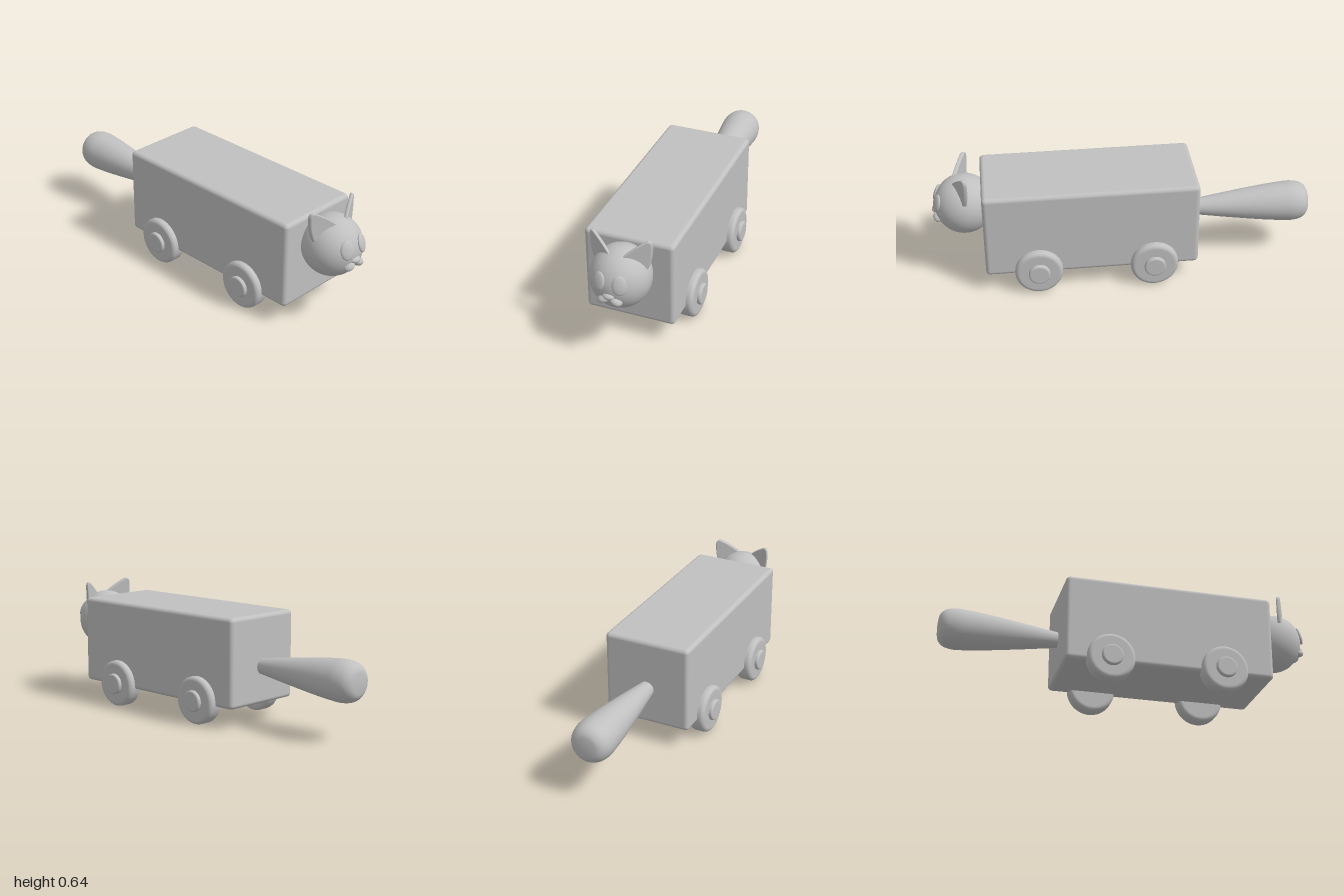
import * as THREE from 'three';
import { RoundedBoxGeometry } from 'three/addons/geometries/RoundedBoxGeometry.js';

const HEAD = new THREE.Vector3(0.83, 0.418, 0);
const HEAD_R = new THREE.Vector3(0.155, 0.159, 0.152);

// Solid of revolution about y between y0 and y1 with rounded rims
function roundedDisc(radius, y0, y1, round) {
  const pts = [new THREE.Vector2(0, y0), new THREE.Vector2(radius - round - 0.004, y0)];
  for (let i = 0; i <= 8; i++) {
    const a = -Math.PI / 2 + (i / 8) * Math.PI / 2;
    pts.push(new THREE.Vector2(radius - round + Math.cos(a) * round, y0 + round + Math.sin(a) * round));
  }
  for (let i = 0; i <= 8; i++) {
    const a = (i / 8) * Math.PI / 2;
    pts.push(new THREE.Vector2(radius - round + Math.cos(a) * round, y1 - round + Math.sin(a) * round));
  }
  pts.push(new THREE.Vector2(radius - round - 0.004, y1), new THREE.Vector2(0, y1));
  return new THREE.LatheGeometry(pts, 48);
}

// Pointed ear with curved sides, slanting back towards its outer edge
function earGeometry(side) {
  const s = new THREE.Shape();
  s.moveTo(side * 0.04, 0.56);
  s.quadraticCurveTo(side * 0.078, 0.55, side * 0.13, 0.48);
  s.quadraticCurveTo(side * 0.154, 0.53, side * 0.153, 0.615);
  s.quadraticCurveTo(side * 0.149, 0.641, side * 0.132, 0.629);
  s.quadraticCurveTo(side * 0.088, 0.605, side * 0.04, 0.56);
  const g = new THREE.ExtrudeGeometry(s, {
    depth: 0.004, bevelEnabled: true, bevelThickness: 0.009, bevelSize: 0.006,
    bevelSegments: 4, curveSegments: 14,
  });
  g.translate(0, 0, -0.002);
  g.rotateY(Math.PI / 2);
  const p = g.attributes.position;
  for (let i = 0; i < p.count; i++) {
    p.setX(i, p.getX(i) + 0.893 - 0.5 * Math.abs(p.getZ(i)));
  }
  g.computeVertexNormals();
  return g;
}

export function createModel() {
  const model = new THREE.Group();
  model.name = 'catWagon';
  const grey = new THREE.MeshStandardMaterial({ color: 0xc0c0c0 });
  grey.name = 'plain grey';

  const add = (name, geometry, parent = model) => {
    const mesh = new THREE.Mesh(geometry, grey);
    mesh.name = name;
    parent.add(mesh);
    return mesh;
  };
  const ellipsoid = (name, parent, x, y, z, rx, ry, rz) => {
    const mesh = add(name, new THREE.SphereGeometry(1, 40, 28).scale(rx, ry, rz), parent);
    mesh.position.set(x, y, z);
    return mesh;
  };

  // Box body
  add('body', new RoundedBoxGeometry(1.115, 0.465, 0.466, 5, 0.022)).position.set(0.1825, 0.3375, 0);

  // Four wheels with hubs
  const tyre = roundedDisc(0.125, 0.18, 0.268, 0.022).rotateX(Math.PI / 2);
  const cap = roundedDisc(0.056, 0.25, 0.287, 0.01).rotateX(Math.PI / 2);
  for (const [label, x] of [['front', 0.465], ['rear', -0.14]]) {
    for (const side of [1, -1]) {
      const wheel = new THREE.Group();
      wheel.name = label + (side > 0 ? 'NearWheel' : 'FarWheel');
      wheel.position.set(x, 0.125, 0);
      wheel.rotation.y = side > 0 ? 0 : Math.PI;
      add('tyre', tyre, wheel);
      add('hub', cap, wheel);
      model.add(wheel);
    }
  }

  // Club-shaped tail, thin where it meets the body
  const profile = new THREE.SplineCurve([
    [0, -1], [0.035, -0.998], [0.07, -0.99], [0.096, -0.962], [0.107, -0.91], [0.104, -0.85],
    [0.094, -0.75], [0.07, -0.57], [0.042, -0.38], [0.036, -0.34],
  ].map(([r, x]) => new THREE.Vector2(r, x))).getPoints(50);
  profile.forEach((p) => { p.x = Math.max(0, p.x); });
  add('tail', new THREE.LatheGeometry(profile, 40).rotateZ(-Math.PI / 2)).position.y = 0.302;

  // Cat head and face
  const head = new THREE.Group();
  head.name = 'head';
  model.add(head);
  ellipsoid('skull', head, HEAD.x, HEAD.y, HEAD.z, HEAD_R.x, HEAD_R.y, HEAD_R.z);
  for (const side of [1, -1]) {
    add(side > 0 ? 'nearEar' : 'farEar', earGeometry(side), head);

    // Eye laid flat on the skull surface
    const ey = 0.46, ez = side * 0.053;
    const dy = (ey - HEAD.y) / HEAD_R.y, dz = ez / HEAD_R.z;
    const ex = HEAD.x + HEAD_R.x * Math.sqrt(1 - dy * dy - dz * dz);
    const eye = ellipsoid('eye', head, ex, ey, ez, 0.036, 0.049, 0.013);
    eye.lookAt(ex + (ex - HEAD.x), ey + (ey - HEAD.y), 2 * ez);

    // Drooping muzzle lobe
    const lobe = ellipsoid('muzzle', head, 0.967, 0.366, side * 0.032, 0.028, 0.022, 0.033);
    lobe.rotation.x = side * 0.45;
  }

  // Nose, narrowing downwards
  const nose = ellipsoid('nose', head, 0.979, 0.393, 0, 0.021, 0.017, 0.03);
  const p = nose.geometry.attributes.position;
  for (let i = 0; i < p.count; i++) p.setZ(i, p.getZ(i) * (1 + 16 * Math.min(0, p.getY(i))));
  nose.geometry.computeVertexNormals();

  return model;
}
